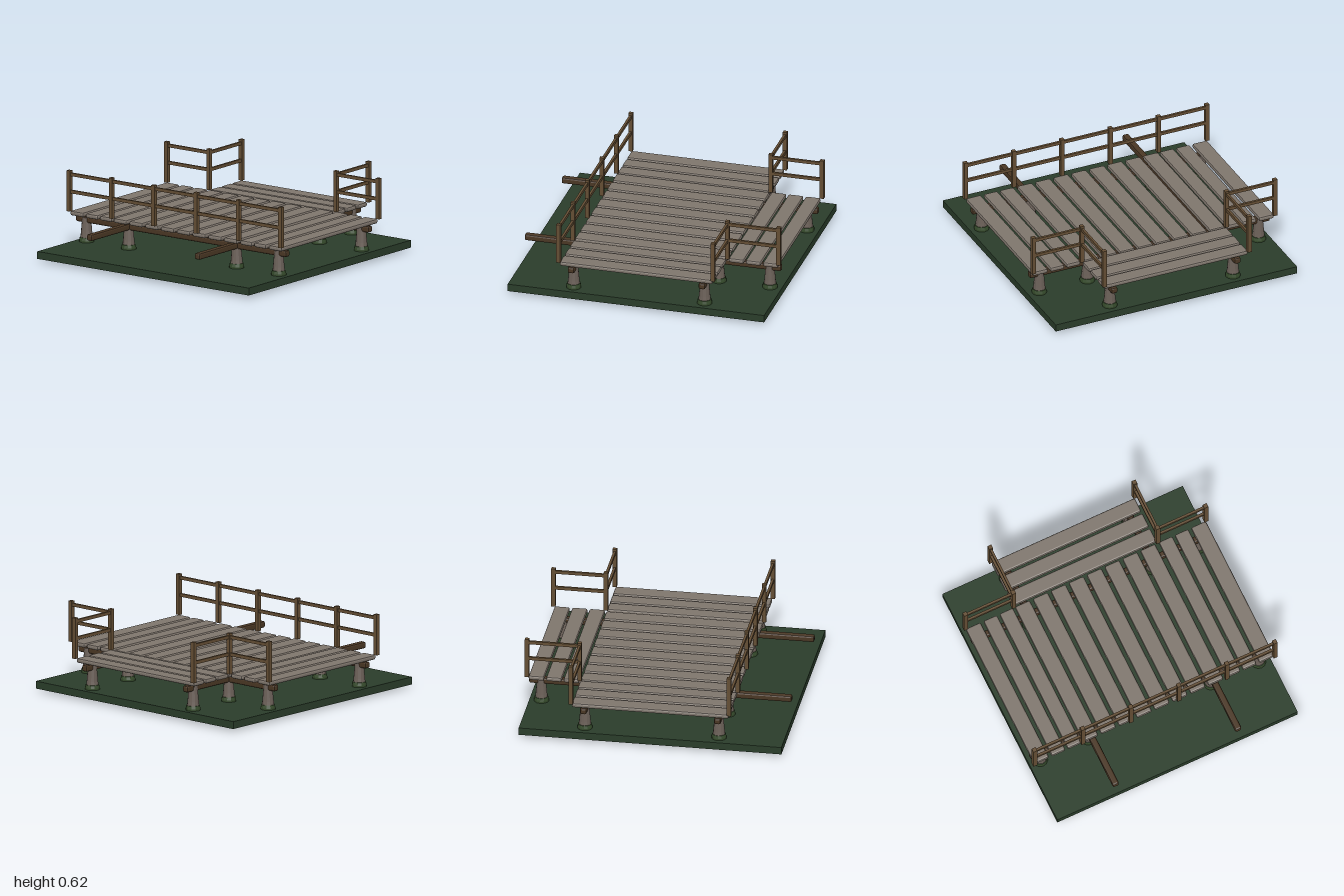
import * as THREE from 'three';
import { RoundedBoxGeometry } from 'three/addons/geometries/RoundedBoxGeometry.js';

const material = (color) => new THREE.MeshStandardMaterial({ color, flatShading: true });
const grass = material(0x2a3d2a);
const moss = material(0x34492a);
const plankWood = material(0x7f766d);
const beamWood = material(0x4a3724);
const railWood = material(0x644e34);
const pillarWood = material(0x6b6058);

export function createModel() {
  const model = new THREE.Group();

  function add(parent, name, geometry, mat, x, y, z) {
    const mesh = new THREE.Mesh(geometry, mat);
    mesh.name = name;
    mesh.position.set(x, y, z);
    parent.add(mesh);
    return mesh;
  }
  function section(name) {
    const group = new THREE.Group();
    group.name = name;
    model.add(group);
    return group;
  }
  const chamferedBox = (w, h, d, r) => new RoundedBoxGeometry(w, h, d, 1, r);

  // Ground slab
  add(model, 'groundSlab', new THREE.BoxGeometry(1.96, 0.056, 1.96), grass, -0.01, 0.049, 0);

  // Tapered pillars, their feet just poking out under the slab, with moss collars
  const pillars = section('pillars');
  const pillarShape = new THREE.LatheGeometry([
    [0, 0.0], [0.03, 0.006], [0.055, 0.021], [0.05, 0.08],
    [0.043, 0.14], [0.036, 0.22], [0.033, 0.262], [0, 0.264],
  ].map(([r, y]) => new THREE.Vector2(r, y)), 12);
  const mossShape = new THREE.LatheGeometry([
    [0.056, 0.07], [0.056, 0.09], [0.05, 0.112], [0.04, 0.114],
  ].map(([r, y]) => new THREE.Vector2(r, y)), 12);
  const spots = [[-0.51, 0.89], [-0.51, 0.5], [0.49, 0.89], [0.49, 0.5], [0.88, 0.5]];
  for (const [x, z] of spots) {
    for (const side of [1, -1]) {
      add(pillars, 'pillar', pillarShape, pillarWood, x, 0, z * side);
      add(pillars, 'mossCollar', mossShape, moss, x, 0, z * side);
    }
  }

  // Crossed support beams
  const beams = section('beams');
  for (const z of [-0.5, 0.5]) {
    add(beams, 'crossBeam', chamferedBox(1.96, 0.05, 0.05, 0.013), beamWood, -0.01, 0.247, z);
  }
  for (const x of [-0.51, 0.49]) {
    add(beams, 'longBeam', chamferedBox(0.05, 0.05, 1.95, 0.013), beamWood, x, 0.247, 0);
  }

  // Main deck: eight middle planks and three narrower ones at each end
  const deck = section('mainDeck');
  for (let i = 0; i < 8; i++) {
    add(deck, 'plank', chamferedBox(1.17, 0.036, 0.122, 0.013), plankWood, -0.01, 0.294, -0.518 + i * 0.146);
  }
  for (const side of [1, -1]) {
    [[0.919, 0.121], [0.78, 0.111], [0.65, 0.111]].forEach(([z, width]) => {
      add(deck, 'endPlank', chamferedBox(1.17, 0.036, width, 0.013), plankWood, -0.01, 0.294, z * side);
    });
  }

  // Side landing
  const landing = section('sideLanding');
  for (const x of [0.644, 0.774, 0.906]) {
    add(landing, 'landingPlank', chamferedBox(0.115, 0.036, 1.17, 0.013), plankWood, x, 0.294, 0);
  }

  // Railings: posts along a path, two rails between each pair
  const railings = section('railings');
  function post(x, z) {
    add(railings, 'railPost', new THREE.BoxGeometry(0.031, 0.308, 0.031), railWood, x, 0.464, z);
  }
  function rails(x1, z1, x2, z2) {
    const length = Math.hypot(x2 - x1, z2 - z1);
    const alongX = Math.abs(x2 - x1) > Math.abs(z2 - z1);
    for (const y of [0.46, 0.59]) {
      const size = alongX ? [length, 0.024, 0.018] : [0.018, 0.024, length];
      add(railings, 'rail', new THREE.BoxGeometry(...size), railWood, (x1 + x2) / 2, y, (z1 + z2) / 2);
    }
  }

  // Long railing
  for (let i = 0; i < 6; i++) post(-0.6, -0.98 + i * 0.392);
  rails(-0.6, -0.98, -0.6, 0.98);

  // Corner railings beside the landing
  for (const side of [1, -1]) {
    post(0.58, 0.98 * side);
    post(0.58, 0.588 * side);
    post(0.972, 0.588 * side);
    rails(0.58, 0.98 * side, 0.58, 0.588 * side);
    rails(0.58, 0.588 * side, 0.972, 0.588 * side);
  }

  return model;
}
